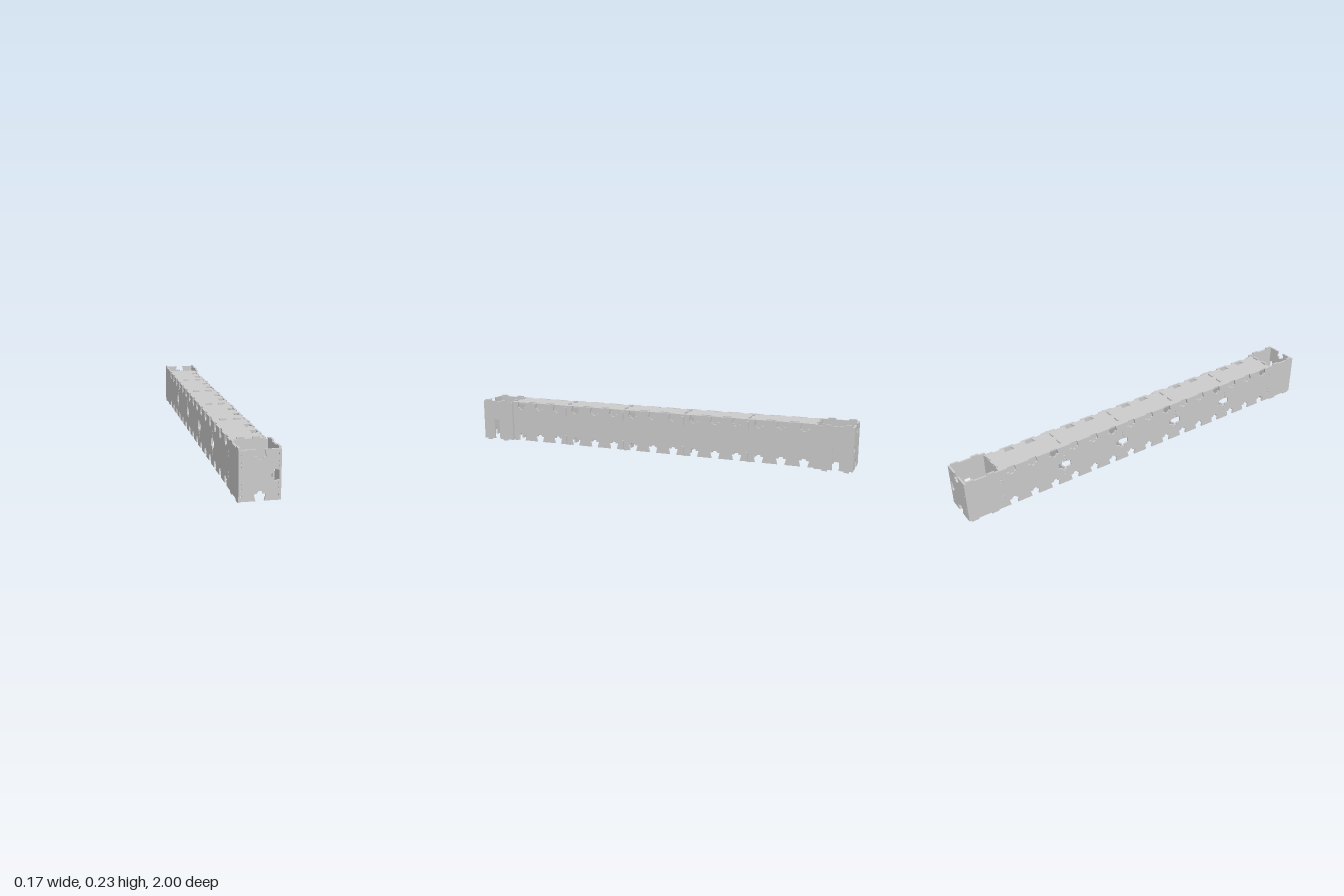
import * as THREE from 'three';

const T = 0.009;            // sheet thickness
const Y0 = 0.012, Y1 = 0.221; // panel height range
const FRAMES = [-0.825, -0.495, -0.165, 0.165, 0.495, 0.825];
const material = new THREE.MeshStandardMaterial({ color: 0xcccccc, flatShading: true });

// Edge features as [along, inward] points: dovetail notch with a rounded pocket, tab, slot
const dovetail = (pocket = true) => {
  const pts = [[-0.018, 0], [-0.025, 0.029]];
  if (pocket) {
    for (let i = 0; i <= 8; i++) {
      const a = Math.PI * i / 8;
      pts.push([-0.012 * Math.cos(a), 0.029 + 0.012 * Math.sin(a)]);
    }
  }
  return [...pts, [0.025, 0.029], [0.018, 0]];
};
const step = (half, depth) => [[-half, 0], [-half, depth], [half, depth], [half, 0]];
const tab = (half, height) => step(half, -height);

// Rectangle outline with features per edge: lists of [position, points]
function sheet(u0, v0, u1, v1, { b = [], r = [], t = [], l = [] } = {}) {
  const pts = [];
  const edge = (x, y, dx, dy, feats) => {
    pts.push(new THREE.Vector2(x, y));
    const sign = dx + dy;
    [...feats].sort((p, q) => (p[0] - q[0]) * sign).forEach(([pos, f]) => {
      const cx = dx ? pos : x, cy = dy ? pos : y;
      f.forEach(([s, d]) => pts.push(new THREE.Vector2(cx + dx * s - dy * d, cy + dy * s + dx * d)));
    });
  };
  edge(u0, v0, 1, 0, b);
  edge(u1, v0, 0, 1, r);
  edge(u1, v1, -1, 0, t);
  edge(u0, v1, 0, -1, l);
  return new THREE.Shape(pts);
}

function hole(shape, u, v, pts) {
  shape.holes.push(new THREE.Path(pts.map(([a, b]) => new THREE.Vector2(u + a, v + b))));
}
const slit = (w, h) => [[-w, -h], [-w, h], [w, h], [w, -h]];

function panel(group, name, shape, place) {
  const geometry = new THREE.ExtrudeGeometry(shape, { depth: T, bevelEnabled: false });
  place(geometry);
  const mesh = new THREE.Mesh(geometry, material);
  mesh.name = name;
  group.add(mesh);
}

// Upright side sheet: outline runs along -z and y, thickness along +x
const sideAt = x => g => g.rotateY(Math.PI / 2).translate(x, 0, 0);

export function createModel() {
  const group = new THREE.Group();
  group.name = 'boxBeam';
  const slitRows = [0.033, 0.062, 0.08, 0.152, 0.17, 0.2];

  // Row of dovetails along both long edges of the side walls
  const row = [];
  for (let k = -7; k <= 7; k++) row.push([k * 0.11, dovetail()]);
  const cornerTabs = [-0.97, -0.87, 0.87, 0.97].map(z => [z, tab(0.018, 0.007)]);

  // Full length wall, with openings at the inner frames
  const leftWall = sheet(-1, Y0, 1, Y1, { b: [...row, ...cornerTabs], t: [...row, ...cornerTabs] });
  FRAMES.slice(1, 5).forEach(z => hole(leftWall, z, 0.115,
    [[-0.034, -0.014], [-0.034, 0.014], [-0.012, 0.018], [-0.012, 0.028], [0.012, 0.028],
      [0.012, 0.018], [0.034, 0.014], [0.034, -0.014], [0.012, -0.018], [0.012, -0.028],
      [-0.012, -0.028], [-0.012, -0.018]]));
  FRAMES.forEach(z => [0.062, 0.08, 0.152, 0.17].forEach(y => hole(leftWall, z, y, slit(0.004, 0.004))));
  panel(group, 'longWall', leftWall, sideAt(-0.087));

  // Recessed wall on the other side
  const recessed = sheet(-0.825, Y0, 0.825, Y1, { b: row, t: row });
  panel(group, 'recessedWall', recessed, sideAt(0.061));

  // Short outer walls at each end, with a tall slot
  for (const s of [-1, 1]) {
    const tabs = [0.87, 0.97].map(z => [s * z, tab(0.018, 0.007)]);
    const a = Math.min(s * 0.82, s), b = Math.max(s * 0.82, s);
    const wall = sheet(a, Y0, b, Y1, { b: [[s * 0.92, step(0.016, 0.108)], ...tabs.map(([z]) => [z, tab(0.012, 0.007)])], t: tabs });
    panel(group, 'endSideWall', wall, sideAt(0.077));
  }

  // End plates
  for (const s of [-1, 1]) {
    const plate = sheet(-0.087, Y0, 0.086, Y1, {
      b: [[0, dovetail()]], t: [[0, dovetail()]], r: [[0.115, dovetail()]],
    });
    for (const x of [-0.076, 0.076]) slitRows.forEach(y => hole(plate, x, y, slit(0.002, 0.004)));
    panel(group, 'endPlate', plate, g => g.translate(0, 0, s > 0 ? 1 - T : -1));
  }

  // Cross frames with tabs through the top panel and the recessed wall
  FRAMES.forEach(z => {
    const end = Math.abs(z) > 0.8;
    const tabs = [-0.039, 0.027].map(x => [x, tab(0.016, 0.01)]);
    const frame = sheet(-0.079, Y0, 0.062, 0.218, {
      b: [...tabs, [-0.006, step(0.017, 0.03)]],
      t: tabs,
      r: end ? [[0.115, tab(0.1, 0.024)]] : [0.038, 0.19].map(y => [y, tab(0.022, 0.024)]),
      l: end ? [] : [[0.115, dovetail(false)]],
    });
    panel(group, 'crossFrame', frame, g => g.translate(0, 0, z - T / 2));
  });

  // Top panel with dovetails along one edge
  const notches = [];
  for (const z of [0.055, 0.275, 0.385, 0.605, 0.715]) notches.push([z, dovetail(false)], [-z, dovetail(false)]);
  const top = sheet(-0.079, -0.83, 0.062, 0.83, { r: notches });
  panel(group, 'topPanel', top, g => g.rotateX(-Math.PI / 2).translate(0, 0.211, 0));

  return group;
}
